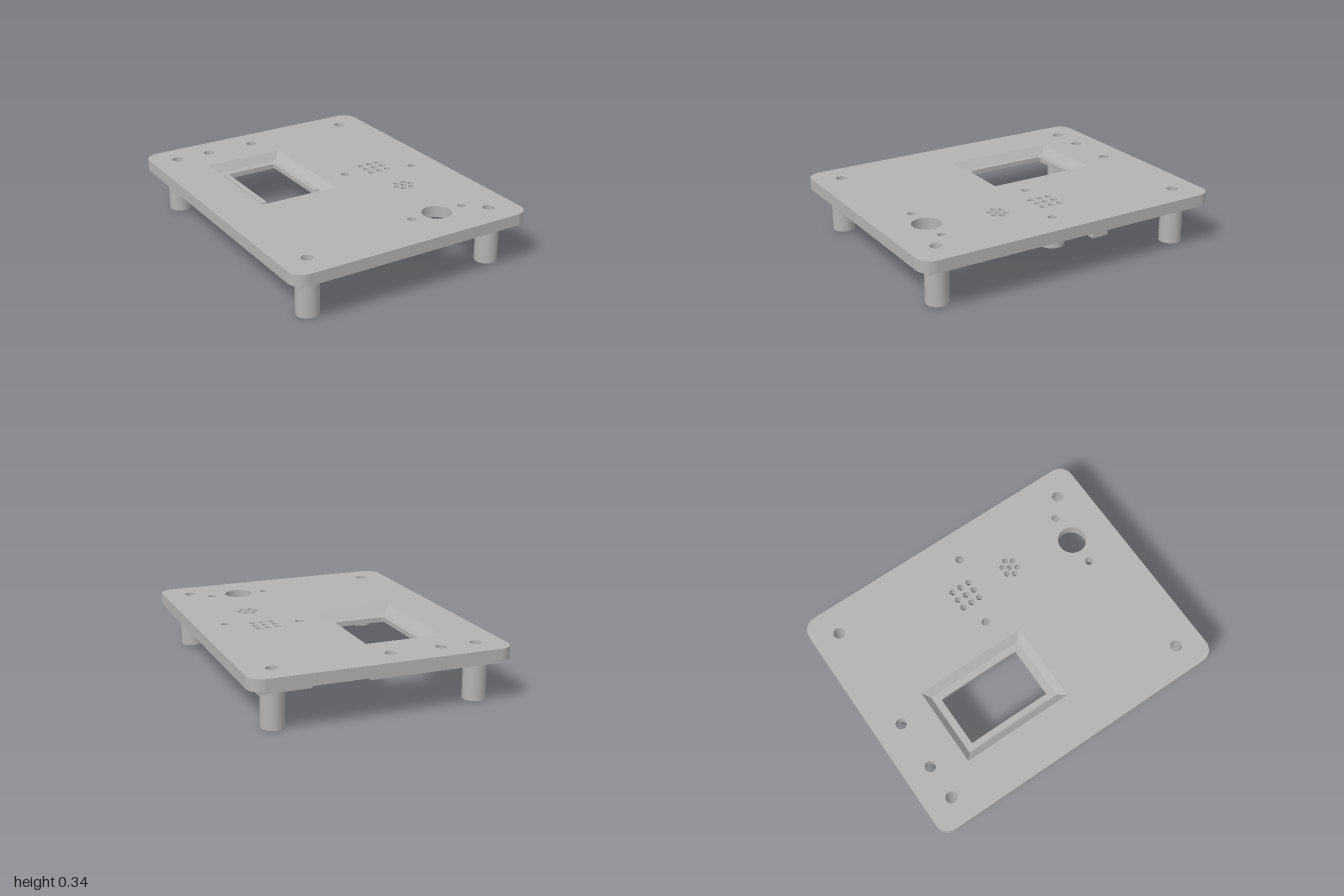
import * as THREE from 'three';
import { toCreasedNormals } from 'three/addons/utils/BufferGeometryUtils.js';

const BOTTOM = 0.267, LEDGE = 0.288, TOP = 0.34;

export function createModel() {
  const group = new THREE.Group();
  const grey = new THREE.MeshStandardMaterial({ color: 0xb3b3b3 });
  grey.name = 'plain grey';

  const add = (name, geometry) => {
    const mesh = new THREE.Mesh(geometry, grey);
    mesh.name = name;
    group.add(mesh);
    return mesh;
  };
  // Upright extrusion of a plan shape drawn as (x, -z)
  const slab = (name, shape, y0, y1, segments = 16) => {
    const g = new THREE.ExtrudeGeometry(shape, { depth: y1 - y0, bevelEnabled: false, curveSegments: segments });
    g.rotateX(-Math.PI / 2).translate(0, y0, 0);
    return add(name, toCreasedNormals(g, 0.6));
  };
  const circle = (x, z, r, Kind = THREE.Path) => new Kind().absarc(x, -z, r, 0, Math.PI * 2, false);
  const rect = ([x0, x1, z0, z1], Kind = THREE.Path) => new Kind([
    [x0, -z1], [x1, -z1], [x1, -z0], [x0, -z0]].map(([x, y]) => new THREE.Vector2(x, y)));
  const tube = (name, x, z, outer, inner, y0, y1) => {
    const s = circle(x, z, outer, THREE.Shape);
    s.holes.push(circle(x, z, inner));
    return slab(name, s, y0, y1);
  };
  const box = (name, x0, x1, y0, y1, z0, z1) =>
    add(name, new THREE.BoxGeometry(x1 - x0, y1 - y0, z1 - z0)
      .translate((x0 + x1) / 2, (y0 + y1) / 2, (z0 + z1) / 2));

  // Every round hole through the plate: x, z, radius
  const holes = [
    [-0.63, -0.835, 0.036], [-0.405, -0.835, 0.034], [-0.085, -0.835, 0.034], [0.625, -0.835, 0.036],
    [-0.63, 0.83, 0.036], [0.625, 0.83, 0.036],
    [0.17, -0.045, 0.026], [0.615, 0.057, 0.026],
    [0.14, 0.727, 0.026], [0.505, 0.727, 0.026], [0.32, 0.725, 0.09],
    [0.39, 0.29, 0.019],
  ];
  for (const x of [0.33, 0.392, 0.453])
    for (const z of [-0.105, -0.045, 0.015]) holes.push([x, z, 0.02]);
  for (let i = 0; i < 6; i++) {
    const a = i * Math.PI / 3;
    holes.push([0.39 + 0.053 * Math.cos(a), 0.29 + 0.046 * Math.sin(a), 0.019]);
  }

  // Face plate in two layers, so the screen window can have a ledge
  const outer = [-0.505, 0.01, -0.63, 0.095];
  const inner = [-0.455, -0.035, -0.59, 0.052];
  const opening = [-0.415, -0.08, -0.545, 0.005];
  const plate = (name, windowRect, y0, y1) => {
    const w = 0.8, d = 1, r = 0.09, s = new THREE.Shape();
    s.absarc(w - r, d - r, r, 0, Math.PI / 2, false);
    s.absarc(-w + r, d - r, r, Math.PI / 2, Math.PI, false);
    s.absarc(-w + r, -d + r, r, Math.PI, Math.PI * 1.5, false);
    s.absarc(w - r, -d + r, r, Math.PI * 1.5, Math.PI * 2, false);
    s.holes = holes.map(([x, z, q]) => circle(x, z, q));
    s.holes.push(rect(windowRect));
    slab(name, s, y0, y1);
  };
  plate('plateTop', outer, LEDGE, TOP);
  plate('plateBase', opening, BOTTOM, LEDGE);

  // Sloping sides of the window
  const corners = ([x0, x1, z0, z1], y) => [[x0, y, z1], [x1, y, z1], [x1, y, z0], [x0, y, z0]];
  const hi = corners(outer, TOP), lo = corners(inner, LEDGE), slope = [];
  for (let i = 0; i < 4; i++) {
    const j = (i + 1) % 4;
    slope.push(...hi[i], ...hi[j], ...lo[j], ...hi[i], ...lo[j], ...lo[i]);
  }
  const bevel = new THREE.BufferGeometry();
  bevel.setAttribute('position', new THREE.Float32BufferAttribute(slope, 3));
  bevel.computeVertexNormals();
  add('windowBevel', bevel);

  // Raised strips on the ledge and retaining ribs under the window
  for (const [x0, x1] of [[-0.45, -0.415], [-0.08, -0.04]])
    box('windowSideStrip', x0, x1, LEDGE - 0.005, LEDGE + 0.008, -0.525, -0.015);
  for (const [z0, z1] of [[-0.565, -0.55], [0.01, 0.025]])
    box('windowRib', -0.46, -0.04, BOTTOM - 0.012, BOTTOM + 0.002, z0, z1);

  // Locating lip under the plate, with a gap at the back
  const y0 = 0.233, y1 = BOTTOM + 0.002, t = 0.022;
  for (const x of [-0.74, 0.74 - t]) box('sideLip', x, x + t, y0, y1, -0.94, 0.94);
  box('frontLip', -0.74 + t, 0.74 - t, y0, y1, 0.94 - t, 0.94);
  box('backLipRight', -0.74 + t, 0.08, y0, y1, -0.94, -0.94 + t);
  box('backLipLeft', 0.43, 0.74 - t, y0, y1, -0.94, -0.94 + t);

  // Hollow legs
  for (const x of [-0.63, 0.625])
    for (const z of [-0.835, 0.83]) tube('leg', x, z, 0.07, 0.036, 0, BOTTOM);

  // Round sleeve around the small hole cluster
  tube('sleeve', 0.39, 0.3, 0.11, 0.086, 0.105, BOTTOM);

  // Open frame around the square hole cluster, with a screw post on each side
  const frame = rect([0.21, 0.55, -0.165, 0.085], THREE.Shape);
  frame.holes.push(rect([0.24, 0.52, -0.135, 0.055]));
  slab('sensorFrame', frame, 0.175, BOTTOM);
  tube('screwPost', 0.17, -0.045, 0.076, 0.026, 0.174, BOTTOM);
  tube('screwPost', 0.615, 0.06, 0.076, 0.026, 0.174, BOTTOM);
  box('postWeb', 0.55, 0.64, 0.185, BOTTOM, -0.07, -0.005);

  // Cable loop with a slot through it
  box('loopBase', 0.655, 0.705, 0.184, 0.215, -0.28, -0.175);
  box('loopSide', 0.655, 0.705, 0.215, BOTTOM, -0.28, -0.262);
  box('loopSide', 0.655, 0.705, 0.215, BOTTOM, -0.195, -0.175);
  box('loopTop', 0.655, 0.705, 0.237, BOTTOM, -0.262, -0.195);

  return group;
}
